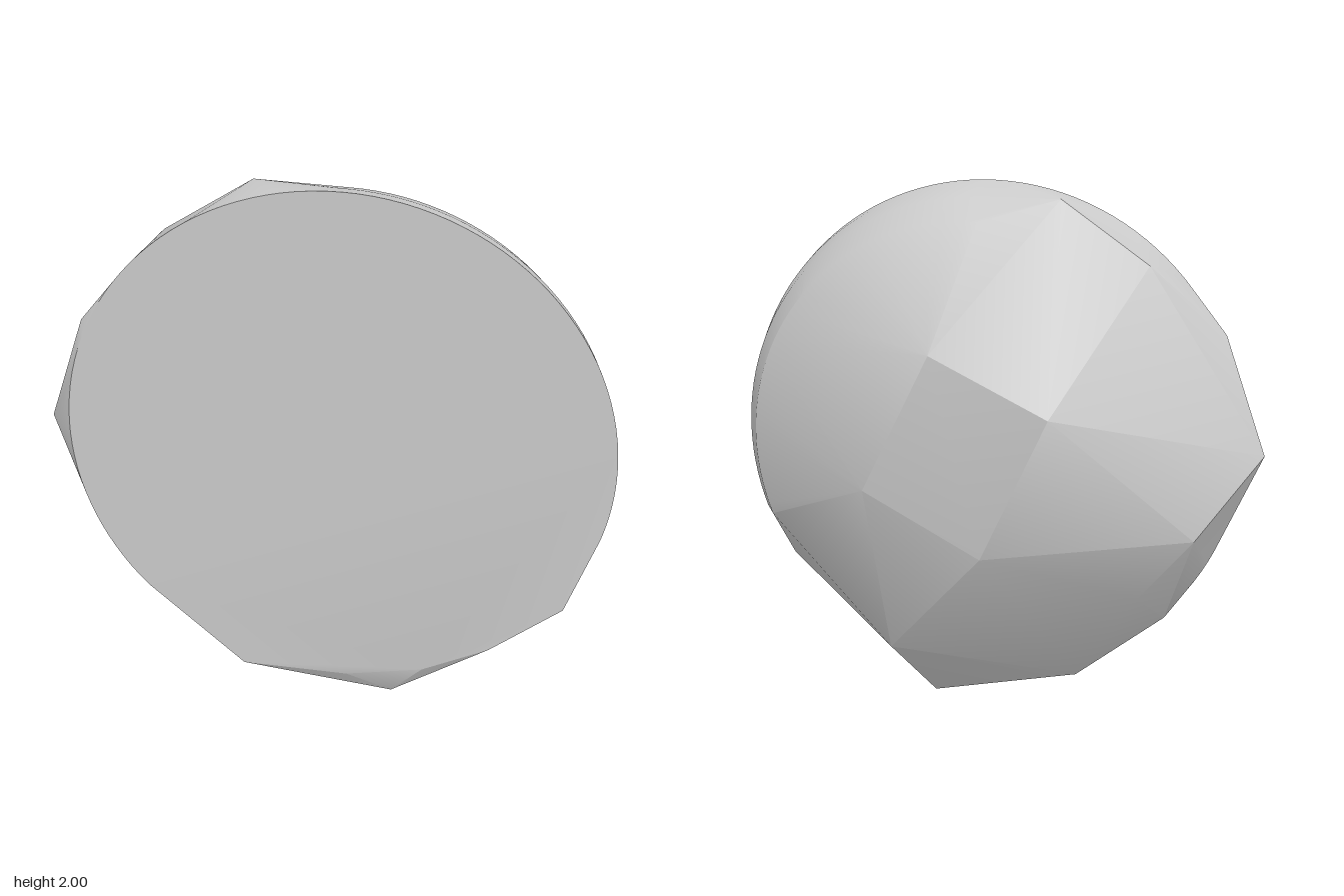
import * as THREE from 'three';
import { ConvexGeometry } from 'three/addons/geometries/ConvexGeometry.js';
import { mergeVertices, toCreasedNormals } from 'three/addons/utils/BufferGeometryUtils.js';

const CENTER = { x: 0.04, y: 1.055 };

// Points on an arc around the disc centre, at depth z (angles in degrees)
function arc(radius, z, from, to, steps) {
  return Array.from({ length: steps + 1 }, (_, i) => {
    const a = THREE.MathUtils.degToRad(from + ((to - from) * i) / steps);
    return new THREE.Vector3(CENTER.x + radius * Math.cos(a), CENTER.y + radius * Math.sin(a), z);
  });
}

export function createModel() {
  const stone = new THREE.MeshStandardMaterial({ color: 0xcccccc });
  stone.name = 'stoneGrey';

  // Corners chipped out of the round form
  const corners = [
    // flat back
    [-0.315, 1.28, -0.285], [0.1, 1.475, -0.285], [0.345, 0.98, -0.285], [-0.08, 0.765, -0.285],
    // upper left chips
    [-0.26, 1.96, 0.11], [-0.58, 1.75, 0.075], [-0.83, 1.485, 0.27],
    // left point and the slope below it
    [-0.99, 1.07, 0.21], [-0.78, 0.8, 0], [-0.58, 0.55, 0.03], [-0.655, 0.41, 0.22],
    // bottom point and lower right slope
    [0.24, 0, 0.22], [0.335, 0.285, -0.04],
    // straight cuts along the front rim
    [-0.31, 0.105, 0.283], [0.08, 0.105, 0.283], [0.36, 0.165, 0.283], [0.6, 0.29, 0.283], [0.85, 0.5, 0.283],
  ].map((p) => new THREE.Vector3(...p));

  const points = [
    ...corners,
    ...arc(0.945, 0.283, -15, 222, 80), // round front rim
    ...arc(0.933, 0.22, -18, 100, 40), // rounded shoulder
    ...arc(0.9, 0.12, -20, 95, 40),
    ...arc(0.83, 0.005, -21, 92, 40), // back ridge
  ];

  // Soft shading across shallow facets, sharp at the rim
  let geometry = new ConvexGeometry(points);
  geometry.deleteAttribute('normal');
  geometry = toCreasedNormals(mergeVertices(geometry, 1e-4), 0.5);

  const boulder = new THREE.Mesh(geometry, stone);
  boulder.name = 'chippedStoneDisc';

  const group = new THREE.Group();
  group.name = 'stone';
  group.add(boulder);
  return group;
}
